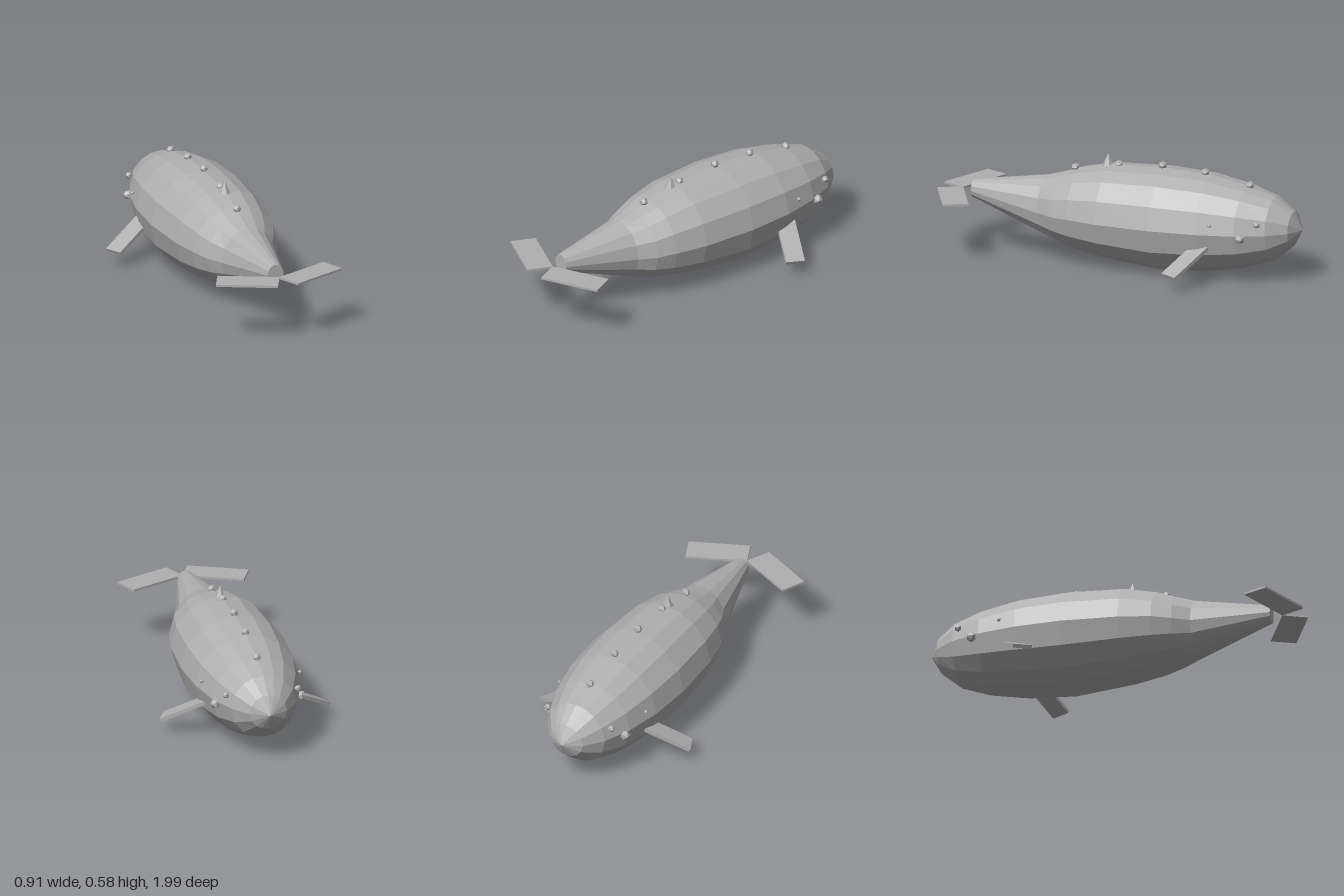
import * as THREE from 'three';

const grey = new THREE.MeshStandardMaterial({ color: 0xb0b0b0, flatShading: true });
grey.name = 'whale grey';

// Cross-sections from snout to tail stock: z, half width, top y, bottom y, y of widest point
const SECTIONS = [
  [-0.95, 0.10, 0.37, 0.185, 0.275],
  [-0.85, 0.175, 0.44, 0.10, 0.275],
  [-0.70, 0.235, 0.487, 0.05, 0.275],
  [-0.50, 0.275, 0.525, 0.016, 0.275],
  [-0.25, 0.29, 0.54, 0.002, 0.275],
  [0.05, 0.27, 0.53, 0.035, 0.275],
  [0.22, 0.235, 0.495, 0.065, 0.275],
  [0.32, 0.20, 0.46, 0.095, 0.27],
  [0.41, 0.15, 0.435, 0.125, 0.27],
  [0.81, 0.045, 0.375, 0.28, 0.32],
];
const QUARTER = [0, 27, 52, 71]; // degrees of the ring corners in one quarter

function bodyGeometry() {
  const angles = [
    ...QUARTER, 90, ...QUARTER.slice(1).reverse().map((a) => 180 - a),
    ...QUARTER.map((a) => 180 + a), 270, ...QUARTER.slice(1).reverse().map((a) => 360 - a),
  ].map(THREE.MathUtils.degToRad);
  const n = angles.length, pos = [], index = [];
  for (const [z, w, top, bottom, mid] of SECTIONS) {
    for (const a of angles) {
      const s = Math.sin(a);
      pos.push(w * Math.cos(a), mid + s * (s > 0 ? top - mid : mid - bottom), z);
    }
  }
  const nose = SECTIONS.length * n, end = nose + 1, last = nose - n;
  pos.push(0, 0.275, -1, 0, 0.32, 0.81);
  for (let i = 0; i < n; i++) {
    const j = (i + 1) % n;
    for (let r = 0; r < last; r += n) {
      index.push(r + i, r + j, r + n + j, r + i, r + n + j, r + n + i);
    }
    index.push(nose, j, i, end, last + i, last + j);
  }
  const g = new THREE.BufferGeometry();
  g.setAttribute('position', new THREE.Float32BufferAttribute(pos, 3));
  g.setIndex(index);
  g.computeVertexNormals();
  return g;
}

export function createModel() {
  const whale = new THREE.Group();
  whale.name = 'whale';
  const add = (name, geometry, x, y, z) => {
    const m = new THREE.Mesh(geometry, grey);
    m.name = name;
    m.position.set(x, y, z);
    whale.add(m);
    return m;
  };

  add('body', bodyGeometry(), 0, 0, 0);

  // Pointed dorsal fin
  add('dorsalFin', new THREE.ConeGeometry(0.046, 0.1, 6), 0, 0.535, 0.07);

  // Row of bumps along the back
  const bump = (r) => new THREE.IcosahedronGeometry(r, 0);
  for (const [y, z] of [[0.493, 0.25], [0.533, 0.01], [0.55, -0.23], [0.535, -0.465], [0.49, -0.71]]) {
    add('backBump', bump(0.023), 0, y, z);
  }

  for (const side of [1, -1]) {
    const label = side > 0 ? 'left' : 'right';

    // Flipper slopes out, down and towards the tail
    const along = new THREE.Vector3(0.795 * side, -0.45, 0.41).normalize();
    const across = new THREE.Vector3(-0.4 * side, 0, 0.91);
    across.addScaledVector(along, -across.dot(along)).normalize();
    const up = new THREE.Vector3().crossVectors(across, along);
    const flipper = add(label + 'Flipper', new THREE.BoxGeometry(0.32, 0.02, 0.1), 0.303 * side, 0.155, -0.48);
    flipper.quaternion.setFromRotationMatrix(new THREE.Matrix4().makeBasis(along, up, across));

    // Tail fluke
    const fluke = add(label + 'Fluke', new THREE.BoxGeometry(0.323, 0.012, 0.136), 0.175 * side, 0.321, 0.862);
    fluke.rotation.y = 0.425 * side;

    // Bumps on the cheek and the small eye
    add(label + 'CheekBump', bump(0.027), 0.228 * side, 0.263, -0.735);
    add(label + 'BrowBump', bump(0.019), 0.192 * side, 0.338, -0.815);
    add(label + 'Eye', bump(0.011), 0.262 * side, 0.33, -0.58);
  }
  return whale;
}
